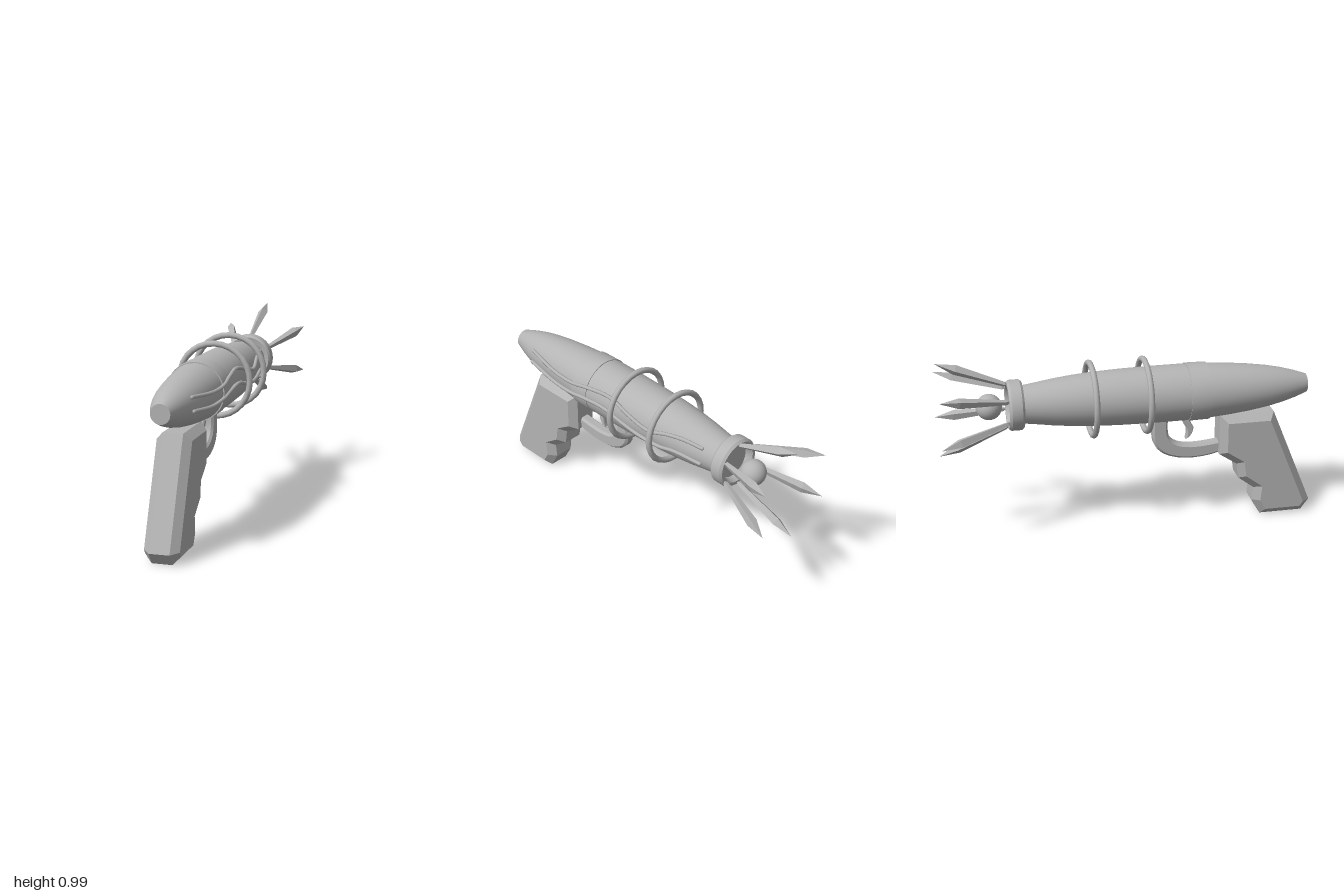
import * as THREE from 'three';
import { toCreasedNormals } from 'three/addons/utils/BufferGeometryUtils.js';

const AXIS_Y = 0.73; // height of the barrel axis

// barrel profile: [z, radius], back to front
const PROFILE = [
  [-0.6, 0.094], [-0.56, 0.099], [-0.5, 0.107], [-0.4, 0.122], [-0.3, 0.133], [-0.2, 0.141],
  [-0.05, 0.147], [0.12, 0.15], [0.3, 0.15], [0.42, 0.146], [0.55, 0.136], [0.65, 0.125],
  [0.75, 0.11], [0.83, 0.093], [0.9, 0.073], [0.965, 0.05],
];

function barrelRadius(z) {
  for (let i = 1; i < PROFILE.length; i++) {
    const [z0, r0] = PROFILE[i - 1], [z1, r1] = PROFILE[i];
    if (z <= z1) return r0 + ((r1 - r0) * (z - z0)) / (z1 - z0);
  }
  return PROFILE[PROFILE.length - 1][1];
}

export function createModel() {
  const model = new THREE.Group();
  model.name = 'rayGun';
  const grey = new THREE.MeshStandardMaterial({ color: 0xb4b4b4 });
  grey.name = 'grey metal';

  const add = (name, geometry, parent = model) => {
    const mesh = new THREE.Mesh(geometry, grey);
    mesh.name = name;
    parent.add(mesh);
    return mesh;
  };

  // solid of revolution around the barrel axis, from [z, radius] points
  const turned = (points, segments = 32) => {
    const g = new THREE.LatheGeometry(points.map(([z, r]) => new THREE.Vector2(r, z)), segments);
    g.rotateX(Math.PI / 2).translate(0, AXIS_Y, 0);
    return toCreasedNormals(g, Math.PI / 6);
  };

  // side profile drawn in (z, y), extruded across x with chamfered edges
  const sideExtrusion = (shape, width, bevel, crease) => {
    const g = new THREE.ExtrudeGeometry(shape, {
      depth: width - 2 * bevel, bevelEnabled: true, bevelThickness: bevel,
      bevelSize: bevel, bevelOffset: -bevel, bevelSegments: 1, curveSegments: 10,
    });
    g.rotateY(-Math.PI / 2).translate(width / 2 - bevel, 0, 0);
    return toCreasedNormals(g, crease);
  };

  // barrel, raised band and rear collar
  add('barrel', turned([[-0.6, 0], ...PROFILE, [0.965, 0]]));
  add('barrelBand', turned([[0.308, 0.14], [0.308, 0.154], [0.418, 0.152], [0.418, 0.14]]));
  add('rearCollar', turned([
    [-0.565, 0.09], [-0.56, 0.122], [-0.572, 0.132], [-0.625, 0.132], [-0.638, 0.122],
    [-0.638, 0.105], [-0.62, 0.095], [-0.565, 0.09],
  ].reverse()));

  // floating hoops around the barrel
  for (const z of [0.085, -0.2]) {
    const hoop = add('hoop', new THREE.TorusGeometry(0.191, 0.016, 8, 28));
    hoop.position.set(0, AXIS_Y, z);
  }

  // energy ball behind the collar
  const ball = add('energyBall', new THREE.SphereGeometry(0.068, 24, 16));
  ball.position.set(0, AXIS_Y, -0.733);

  // six flared prongs
  const prongProfile = [[0, 0], [0.013, 0.02], [0.027, 0.29], [0, 0.397]];
  const prongGeometry = toCreasedNormals(
    new THREE.LatheGeometry(prongProfile.map(([r, y]) => new THREE.Vector2(r, y)), 4), 0.1);
  for (let i = 0; i < 6; i++) {
    const arm = new THREE.Group();
    arm.name = 'prongArm';
    arm.position.y = AXIS_Y;
    arm.rotation.z = (i * Math.PI) / 3;
    const prong = add('prong', prongGeometry, arm);
    prong.position.set(0, 0.112, -0.63);
    prong.rotation.x = Math.atan2(-0.37, 0.145);
    model.add(arm);
  }

  // two wavy wires on the left flank: [z, y]
  const wires = {
    upperWire: [[0.78, 0.78], [0.57, 0.765], [0.42, 0.77], [0.3, 0.793], [0.14, 0.808],
      [-0.02, 0.775], [-0.15, 0.755], [-0.27, 0.785], [-0.37, 0.796], [-0.48, 0.793]],
    lowerWire: [[0.78, 0.712], [0.57, 0.696], [0.42, 0.706], [0.32, 0.725], [0.17, 0.737],
      [0.04, 0.712], [-0.08, 0.69], [-0.22, 0.688], [-0.32, 0.71], [-0.48, 0.705]],
  };
  for (const [name, points] of Object.entries(wires)) {
    const path = new THREE.CatmullRomCurve3(points.map(([z, y]) => {
      const dy = y - AXIS_Y, r = barrelRadius(z) + 0.006;
      return new THREE.Vector3(Math.sqrt(r * r - dy * dy), y, z);
    }));
    add(name, new THREE.TubeGeometry(path, 60, 0.01, 8, false));
    // wire end caps
    for (const t of [0, 1]) {
      add(name + 'End', new THREE.SphereGeometry(0.01, 8, 6)).position.copy(path.getPoint(t));
    }
  }

  // chamfered grip with finger notches
  const grip = new THREE.Shape([
    [0.78, 0.6], [0.957 + 0.043, 0.06], [0.957, 0], [0.722, 0], [0.675, 0.085], [0.682, 0.16],
    [0.595, 0.225], [0.582, 0.31], [0.485, 0.375], [0.485, 0.6],
  ].map(([z, y]) => new THREE.Vector2(z, y)));
  add('grip', sideExtrusion(grip, 0.18, 0.038, 0.05));

  // trigger guard
  const guard = new THREE.Shape();
  guard.moveTo(0.52, 0.375);
  guard.lineTo(0.485, 0.372);
  guard.bezierCurveTo(0.36, 0.335, 0.125, 0.34, 0.125, 0.5);
  guard.lineTo(0.125, 0.62);
  guard.lineTo(0.208, 0.62);
  guard.lineTo(0.208, 0.53);
  guard.bezierCurveTo(0.208, 0.41, 0.36, 0.425, 0.485, 0.442);
  guard.lineTo(0.52, 0.445);
  add('triggerGuard', sideExtrusion(guard, 0.06, 0.012, Math.PI / 6));

  // hooked trigger
  const trigger = new THREE.Shape();
  trigger.moveTo(0.325, 0.61);
  trigger.quadraticCurveTo(0.325, 0.565, 0.35, 0.53);
  trigger.quadraticCurveTo(0.345, 0.48, 0.308, 0.463);
  trigger.quadraticCurveTo(0.318, 0.5, 0.312, 0.53);
  trigger.quadraticCurveTo(0.285, 0.56, 0.278, 0.61);
  add('trigger', sideExtrusion(trigger, 0.04, 0.005, Math.PI / 6));

  return model;
}
